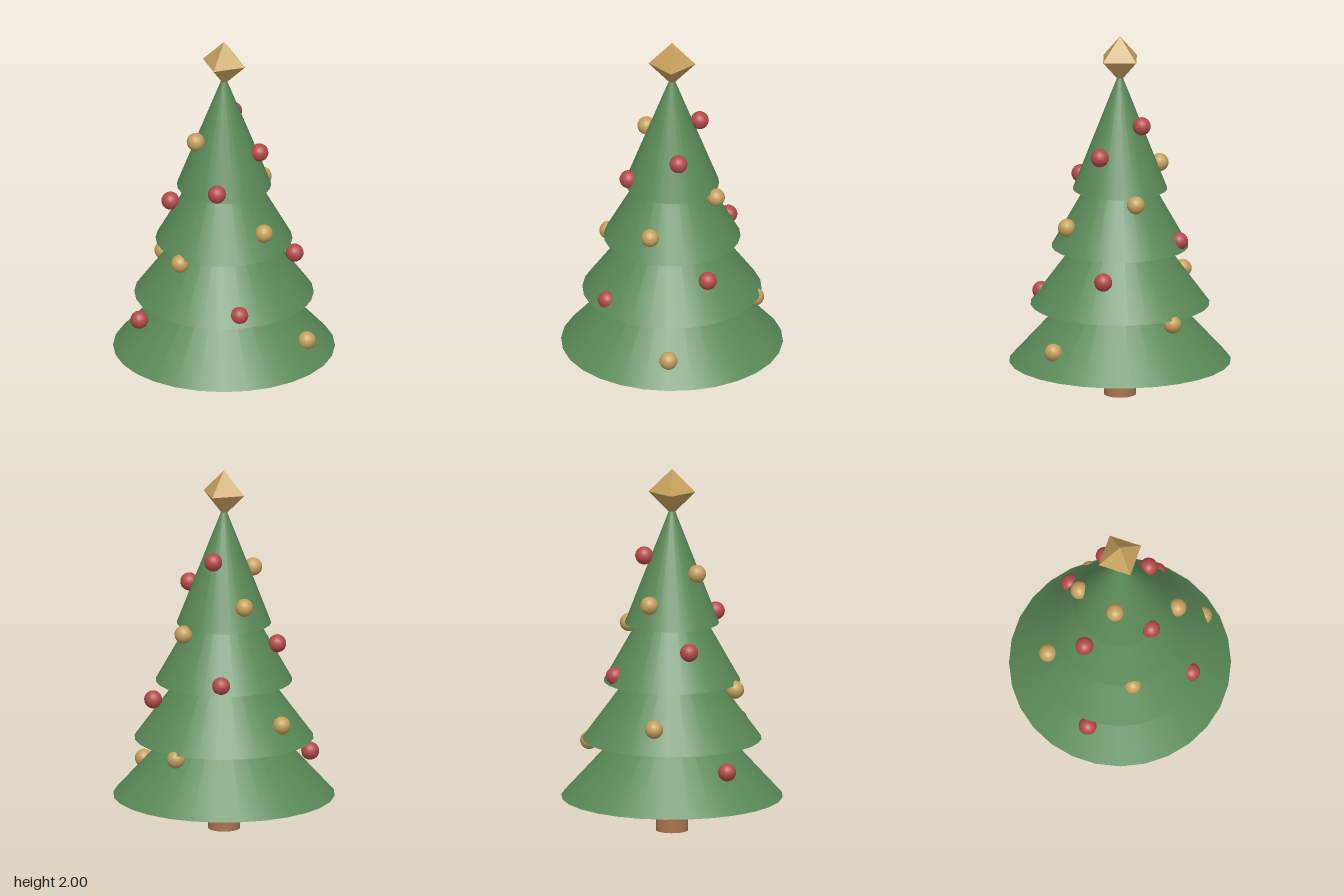
import * as THREE from 'three';

export function createModel() {
  const model = new THREE.Group();
  model.name = 'decoratedTree';

  const material = (name, color) => {
    const m = new THREE.MeshStandardMaterial({ color });
    m.name = name;
    return m;
  };
  const green = material('needleGreen', 0x5a8a57);
  const brown = material('barkBrown', 0xa8754f);
  const gold = material('gold', 0xc4a05c);
  const red = material('red', 0xb44a48);

  const add = (name, geometry, mat, x, y, z, parent = model) => {
    const mesh = new THREE.Mesh(geometry, mat);
    mesh.name = name;
    mesh.position.set(x, y, z);
    parent.add(mesh);
    return mesh;
  };

  // Trunk, reaching slightly into the lowest tier
  add('trunk', new THREE.CylinderGeometry(0.087, 0.087, 0.21, 20), brown, 0, 0.105, 0);

  // Four overlapping tiers of branches, narrowing upwards
  const tierHeight = 0.66;
  for (let i = 0; i < 4; i++) {
    const cone = new THREE.ConeGeometry(0.6 - 0.115 * i, tierHeight, 28);
    add(`branchTier${i + 1}`, cone, green, 0, 0.19 + 0.32 * i + tierHeight / 2, 0);
  }

  // Faceted tree topper
  add('topper', new THREE.OctahedronGeometry(0.127), gold, 0, 1.873, 0);

  // Baubles spiralling up the tree, alternating gold and red
  const baubles = new THREE.Group();
  baubles.name = 'baubles';
  model.add(baubles);
  const ball = new THREE.SphereGeometry(0.049, 16, 12);
  for (let i = 0; i < 16; i++) {
    const angle = i * 2.4;
    const radius = 0.5 - 0.0233 * i;
    add(`bauble${i + 1}`, ball, i % 2 ? red : gold,
      Math.cos(angle) * radius, 0.322 + 0.08 * i, Math.sin(angle) * radius, baubles);
  }

  return model;
}
